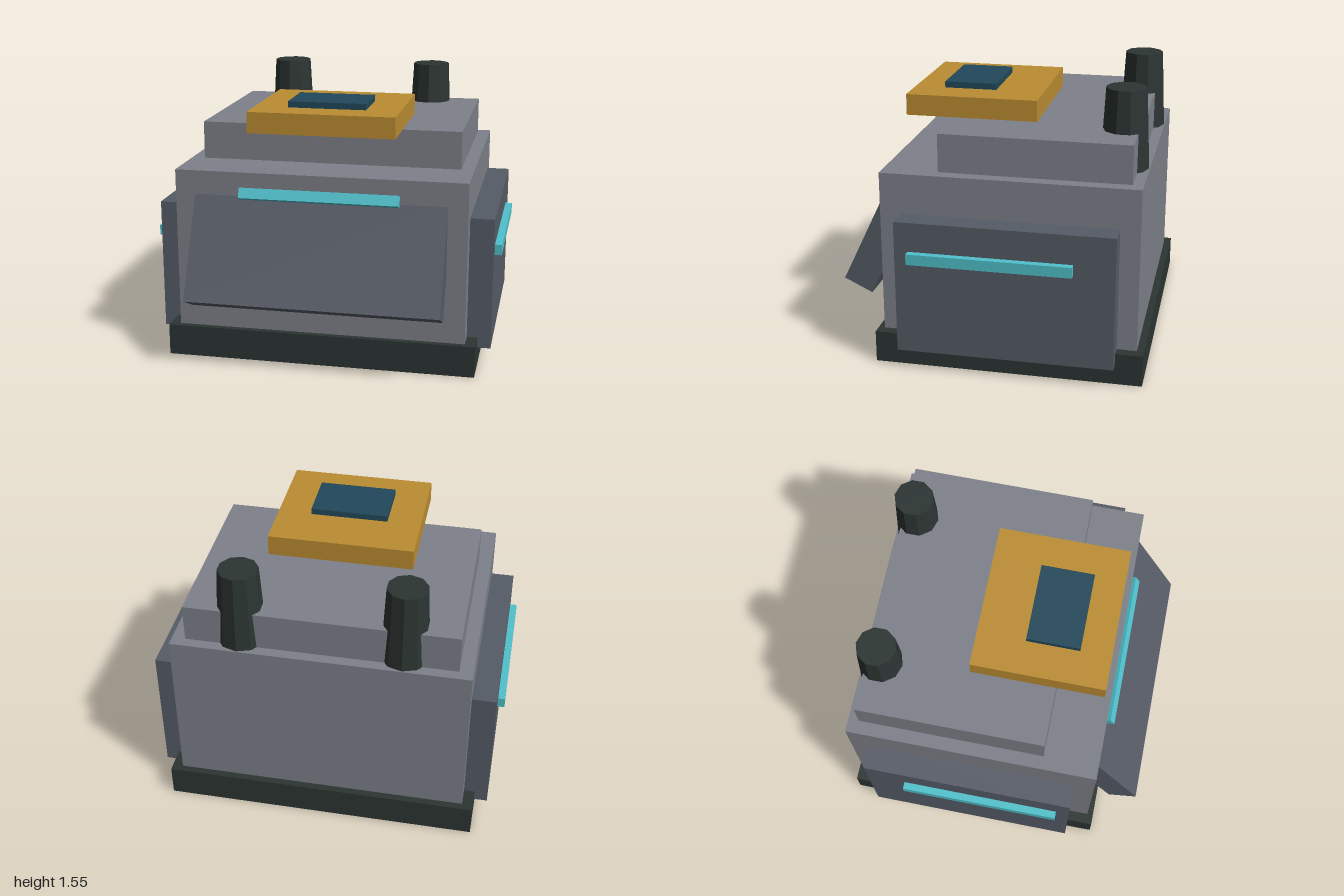
import * as THREE from 'three';

const material = (name, color) => {
  const m = new THREE.MeshStandardMaterial({ color });
  m.name = name;
  return m;
};

export function createModel() {
  const grey = material('light grey', 0x7e818a);
  const slate = material('slate', 0x565c67);
  const dark = material('dark green grey', 0x2c3533);
  const ochre = material('ochre', 0xbc8d32);
  const blue = material('deep blue', 0x22495b);
  const cyan = material('cyan', 0x50c1cc);

  const model = new THREE.Group();
  model.name = 'bunker';

  // Box given by its minimum and maximum corners
  const box = (name, mat, [x0, y0, z0], [x1, y1, z1], parent = model) => {
    const mesh = new THREE.Mesh(new THREE.BoxGeometry(x1 - x0, y1 - y0, z1 - z0), mat);
    mesh.position.set((x0 + x1) / 2, (y0 + y1) / 2, (z0 + z1) / 2);
    mesh.name = name;
    parent.add(mesh);
    return mesh;
  };

  // Stacked main blocks
  box('base', dark, [-0.885, 0, -0.865], [0.885, 0.18, 0.635]);
  box('body', grey, [-0.825, 0.18, -0.825], [0.825, 1.1, 0.6]);
  box('upperBlock', grey, [-0.75, 1.1, -0.765], [0.75, 1.315, 0.29]);

  // Overhanging roof slab with its inset plate
  box('roofSlab', ochre, [-0.415, 1.315, -0.19], [0.415, 1.435, 0.56]);
  box('roofPlate', blue, [-0.222, 1.435, 0.085], [0.222, 1.47, 0.385]);

  // Leaning front plate: the origin is its lower outer edge
  const front = new THREE.Group();
  front.name = 'frontPlateGroup';
  front.position.set(0, 0.415, 0.865);
  front.rotation.x = -0.45;
  box('frontPlate', slate, [-0.713, 0, -0.178], [0.713, 0.63, 0], front);
  model.add(front);

  // Light bar above the front plate, leaning the same way
  const bar = new THREE.Group();
  bar.name = 'frontLightGroup';
  bar.position.set(0, 0.965, 0.647);
  bar.rotation.x = -0.45;
  box('frontLight', cyan, [-0.45, 0, -0.06], [0.45, 0.06, 0], bar);
  model.add(bar);

  // Side panels, side lights and exhaust stacks
  for (const [side, s] of [['left', 1], ['right', -1]]) {
    const panel = box(side + 'Panel', slate, [0.8, 0.12, -0.715], [0.96, 0.875, 0.485]);
    const light = box(side + 'Light', cyan, [0.95, 0.65, -0.49], [1, 0.71, 0.41]);
    panel.position.x *= s;
    light.position.x *= s;

    const stackGeometry = new THREE.CylinderGeometry(0.111, 0.135, 0.45, 10).toNonIndexed();
    stackGeometry.computeVertexNormals();
    const stack = new THREE.Mesh(stackGeometry, dark);
    stack.name = side + 'Stack';
    stack.position.set(0.45 * s, 1.325, -0.685);
    model.add(stack);
  }

  return model;
}
